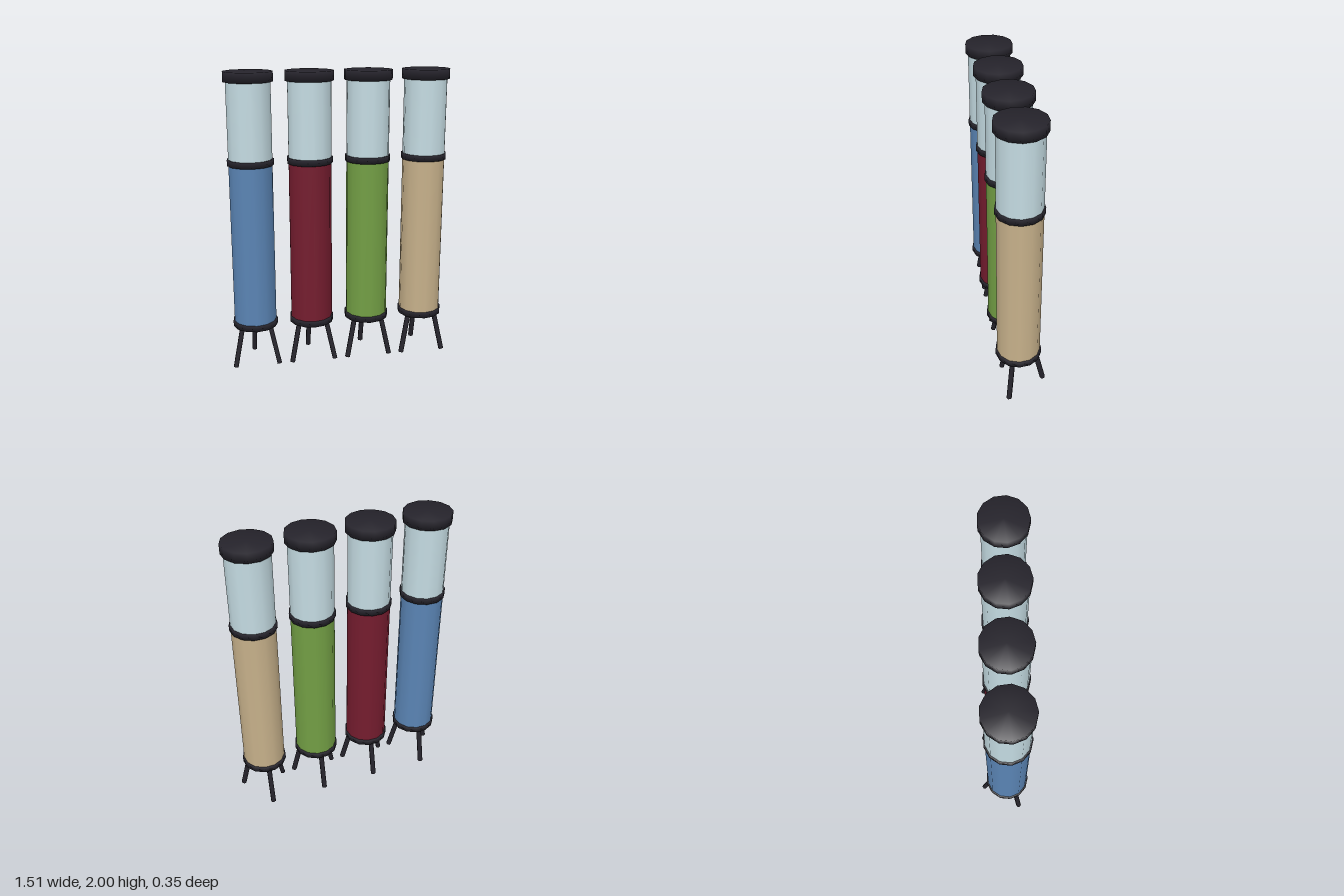
import * as THREE from 'three';

const SIDES = 13;
const DARK = 0x25232b;
const material = (color) => new THREE.MeshStandardMaterial({ color });

// Smooth-shaded disc or band spun from a rectangular profile
function band(name, radius, y0, y1) {
  const profile = [[0, y0], [radius, y0], [radius, y1], [0, y1]].map(([x, y]) => new THREE.Vector2(x, y));
  const mesh = new THREE.Mesh(new THREE.LatheGeometry(profile, SIDES), material(DARK));
  mesh.name = name;
  return mesh;
}

// Straight tube section
function tube(name, color, y0, y1) {
  const mesh = new THREE.Mesh(new THREE.CylinderGeometry(0.144, 0.144, y1 - y0, SIDES), material(color));
  mesh.position.y = (y0 + y1) / 2;
  mesh.name = name;
  return mesh;
}

// Splayed leg leaning outwards at the given angle about y
function leg(angle) {
  const at = (r, y) => new THREE.Vector3(Math.sin(angle) * r, y, Math.cos(angle) * r);
  const foot = at(0.174, 0.005);
  const top = at(0.107, 0.29);
  const axis = top.clone().sub(foot);
  const mesh = new THREE.Mesh(new THREE.CylinderGeometry(0.018, 0.018, axis.length(), 6), material(DARK));
  mesh.position.copy(foot).add(top).multiplyScalar(0.5);
  mesh.quaternion.setFromUnitVectors(new THREE.Vector3(0, 1, 0), axis.normalize());
  mesh.name = 'leg';
  return mesh;
}

// One canister standing on a tripod
function canister(color) {
  const group = new THREE.Group();
  group.add(
    band('topCap', 0.16, 1.935, 2),
    tube('clearUpperTube', 0xc4dbe2, 1.42, 1.95),
    band('middleRing', 0.153, 1.4, 1.44),
    tube('colouredLowerTube', color, 0.3, 1.42),
    band('baseRing', 0.153, 0.28, 0.32),
  );
  for (const angle of [Math.PI, Math.PI / 3, -Math.PI / 3]) group.add(leg(angle));
  return group;
}

export function createModel() {
  const model = new THREE.Group();
  model.name = 'canisterRow';
  // Row of four, from the model's right to its left
  [0x5a84b4, 0x741c2e, 0x729e44, 0xc6b08a].forEach((color, i) => {
    const unit = canister(color);
    unit.name = 'canister' + (i + 1);
    unit.position.set((i - 1.5) * 0.392, 0, 0.016);
    model.add(unit);
  });
  return model;
}
